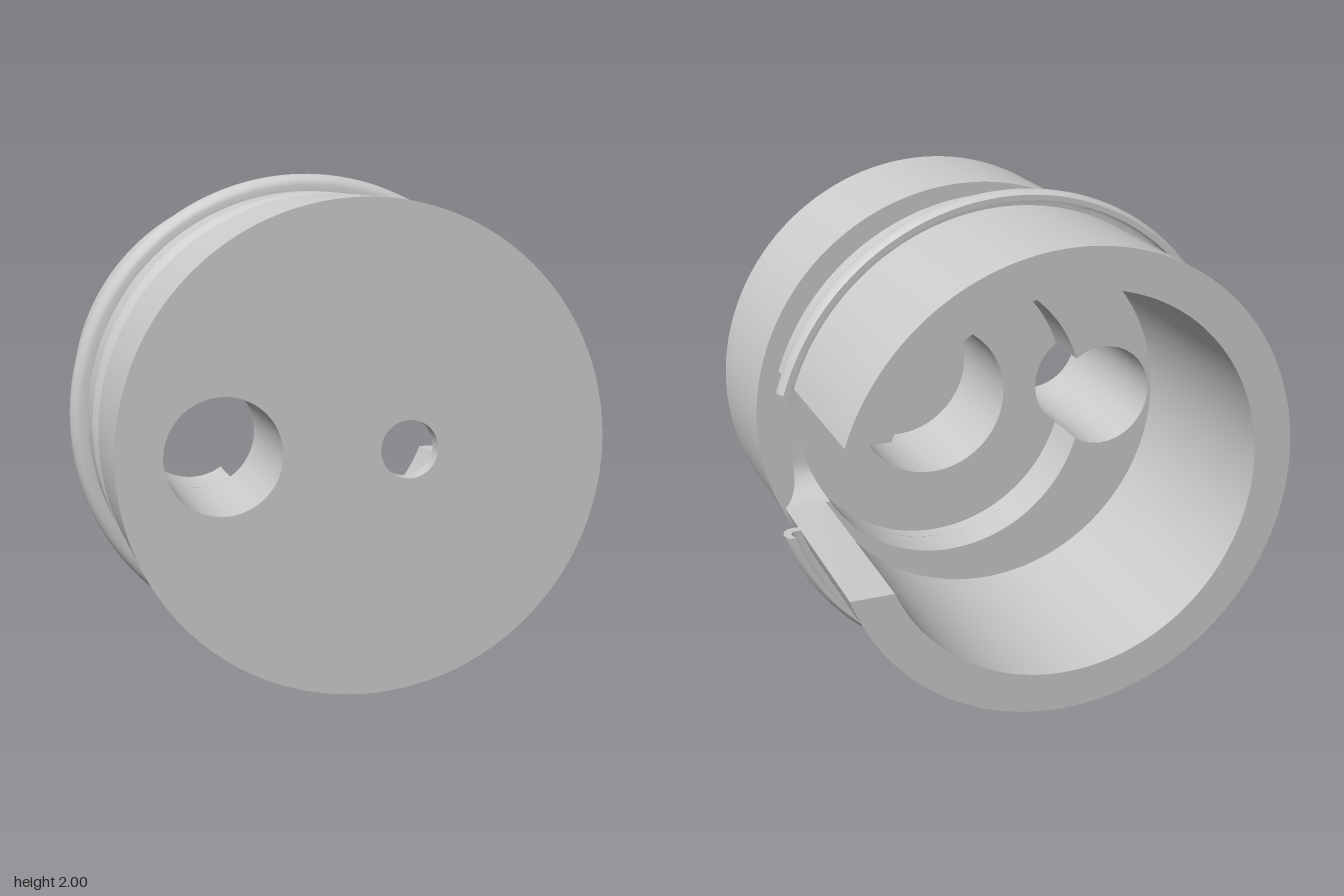
import * as THREE from 'three';
import { toCreasedNormals } from 'three/addons/utils/BufferGeometryUtils.js';

const BODY_R = 0.93, BORE_R = 0.77, SLOT = 0.297, CORNER = 0.15;
const BACK = -0.82, LEDGE = 0.06, SLOT_END = 0.21, FLOOR = 0.275, PLATE = 0.75, FRONT = 0.82;
const recess = { x: 0.165, r: 0.605 }; // off-centre pocket, touches the bore on the slot side
const port = { x: -0.535, r: 0.22 };   // large through hole
const ARC = 52, PORT_ARC = 24, COUNT = 2 * ARC + PORT_ARC;

const material = new THREE.MeshStandardMaterial({ color: 0xcccccc });

// Arc points around (cx, 0) at height z
function arc(cx, r, z, from, to, n) {
  return Array.from({ length: n }, (_, i) => {
    const a = from + (to - from) * i / (n - 1);
    return new THREE.Vector3(cx + r * Math.cos(a), r * Math.sin(a), z);
  });
}

// Circle around the axis, open where |y| < h on the +x side
function ring(r, z, h) {
  const a = Math.asin(h / r);
  return arc(0, r, z, a, 2 * Math.PI - a, COUNT);
}

// Pocket outline merged with the large hole, open at the slot
function recessRing(z, h) {
  const d = recess.x - port.x;
  const along = (d * d + recess.r ** 2 - port.r ** 2) / (2 * d);
  const phi = Math.acos(along / recess.r);
  const psi = Math.acos((d - along) / port.r);
  const a = Math.asin(h / recess.r);
  return [
    ...arc(recess.x, recess.r, z, a, Math.PI - phi, ARC),
    ...arc(port.x, port.r, z, psi, 2 * Math.PI - psi, PORT_ARC),
    ...arc(recess.x, recess.r, z, Math.PI + phi, 2 * Math.PI - a, ARC),
  ];
}

// Slotted shell between paired outer and inner rings, with walls at the slot
function slottedShell(outer, inner) {
  const positions = [];
  const tri = (a, b, c) => {
    if (new THREE.Triangle(a, b, c).getArea() < 1e-7) return;
    for (const p of [a, b, c]) positions.push(p.x, p.y, p.z);
  };
  const quad = (a, b, c, d) => { tri(a, b, c); tri(a, c, d); };

  const chain = [...outer, ...[...inner].reverse(), outer[0]];
  for (let k = 0; k < chain.length - 1; k++) {
    const A = chain[k], B = chain[k + 1];
    for (let i = 0; i < COUNT - 1; i++) quad(A[i], A[i + 1], B[i + 1], B[i]);
  }
  const e = COUNT - 1;
  for (let k = 0; k < outer.length - 1; k++) {
    const O = outer[k], P = outer[k + 1], I = inner[k], J = inner[k + 1];
    quad(I[0], O[0], P[0], J[0]);
    quad(J[e], P[e], O[e], I[e]);
  }
  const geometry = new THREE.BufferGeometry();
  geometry.setAttribute('position', new THREE.Float32BufferAttribute(positions, 3));
  return toCreasedNormals(geometry, 0.45);
}

// Round disc with round holes between two heights
function disc(z0, z1, holes) {
  const shape = new THREE.Shape().absarc(0, 0, BODY_R, 0, 2 * Math.PI, false);
  for (const { x, r } of holes) {
    shape.holes.push(new THREE.Path().absarc(x, 0, r, 0, 2 * Math.PI, true));
  }
  const geometry = new THREE.ExtrudeGeometry(shape, {
    depth: z1 - z0, bevelEnabled: false, curveSegments: 96,
  });
  geometry.translate(0, 0, z0);
  return toCreasedNormals(geometry, 0.45);
}

function sleeveGeometry() {
  const outer = [ring(BODY_R, BACK, SLOT), ring(BODY_R, LEDGE, SLOT)];
  const inner = [ring(BORE_R, BACK, SLOT), ring(BORE_R, LEDGE, SLOT)];
  const level = (z, h) => {
    const t = (z - LEDGE) / (FLOOR - LEDGE);
    outer.push(ring(BODY_R + (BORE_R + 0.002 - BODY_R) * t, z, h));
    inner.push(recessRing(z, h));
  };
  // tapered neck with rounded slot corners
  const steps = 10;
  for (let i = 0; i <= steps; i++) {
    const a = (i / steps) * Math.PI / 2;
    level(SLOT_END - CORNER + CORNER * Math.sin(a), SLOT - CORNER + CORNER * Math.cos(a));
  }
  level(SLOT_END, 0);
  level(FLOOR, 0);
  return slottedShell(outer, inner);
}

// Curved lip, hollow towards the back
function lipGeometry() {
  const outer = [[0.984, -0.225], [0.995, -0.21], [1.0, -0.188], [0.997, -0.168],
    [0.988, -0.149], [0.973, -0.136], [0.955, -0.13], [0.92, -0.13]];
  const inner = [[0.962, -0.225], [0.968, -0.21], [0.971, -0.19], [0.969, -0.18],
    [0.964, -0.172], [0.957, -0.167], [0.948, -0.165], [0.92, -0.165]];
  const rings = (profile) => profile.map(([r, z]) => ring(r, z, SLOT));
  return slottedShell(rings(outer), rings(inner));
}

export function createModel() {
  const group = new THREE.Group();
  group.name = 'slottedCap';
  const add = (name, geometry) => {
    const mesh = new THREE.Mesh(geometry, material);
    mesh.name = name;
    mesh.position.set(0.02, 1, 0);
    group.add(mesh);
  };
  add('slottedSleeve', sleeveGeometry());
  add('sealingLip', lipGeometry());
  // head: wide counterbore behind a plate with the small hole
  add('headFlange', disc(FLOOR, PLATE, [port, { x: recess.x, r: 0.33 }]));
  add('frontPlate', disc(PLATE, FRONT, [port, { x: recess.x, r: 0.11 }]));
  return group;
}
